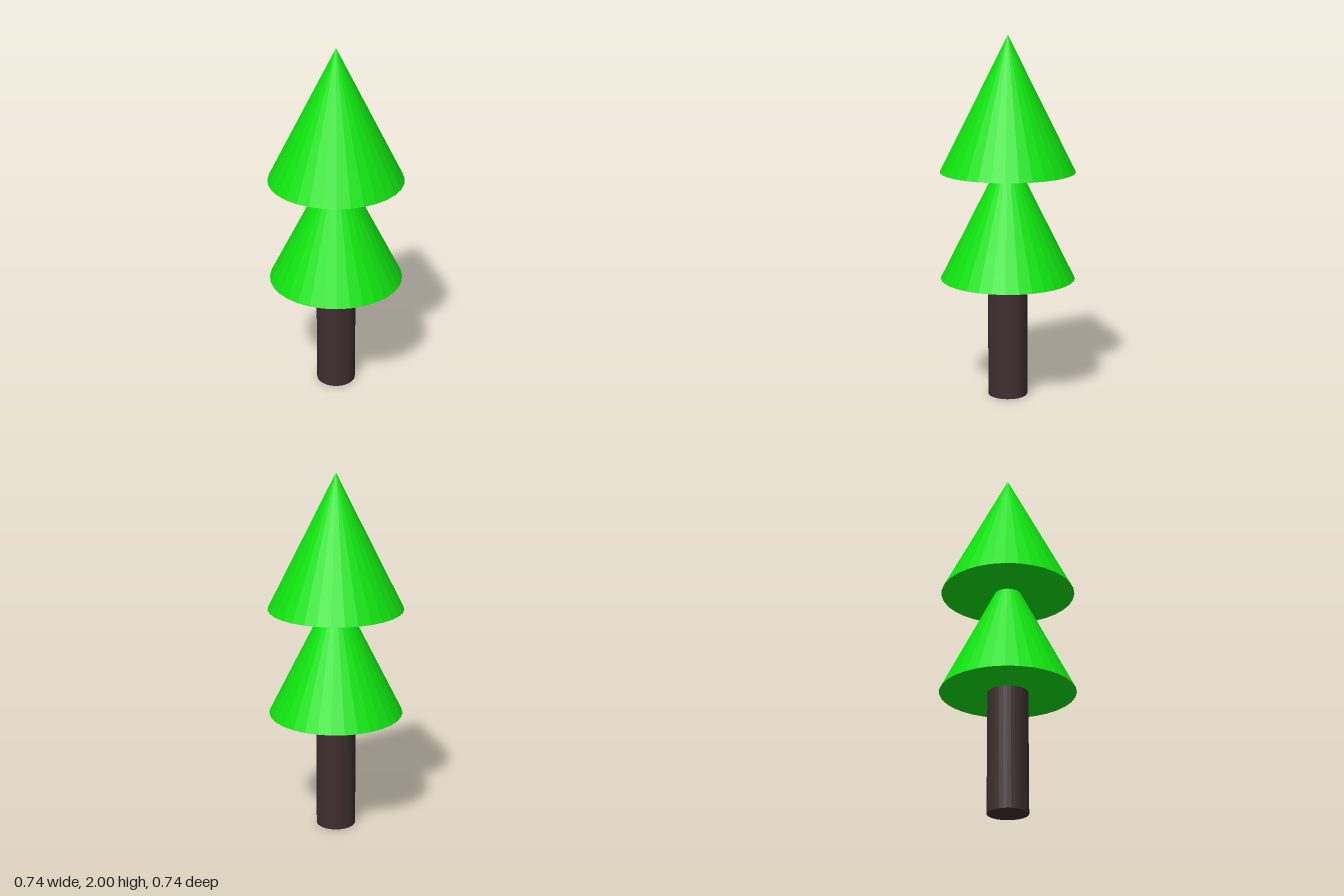
import * as THREE from 'three';

const SIDES = 32;

export function createModel() {
  const tree = new THREE.Group();
  tree.name = 'tree';

  const leafGreen = new THREE.MeshStandardMaterial({ color: 0x10e410 });
  leafGreen.name = 'leafGreen';
  leafGreen.flatShading = true;
  const barkBrown = new THREE.MeshStandardMaterial({ color: 0x3e2e2f });
  barkBrown.name = 'barkBrown';
  barkBrown.flatShading = true;

  // Places a part with its base at the given height
  const addPart = (name, geometry, height, base, material) => {
    geometry.translate(0, base + height / 2, 0);
    const mesh = new THREE.Mesh(geometry, material);
    mesh.name = name;
    tree.add(mesh);
  };

  // Trunk, ending just inside the lower foliage
  addPart('trunk', new THREE.CylinderGeometry(0.11, 0.11, 0.68, SIDES), 0.68, 0, barkBrown);

  // Two equal foliage cones, the upper one covering the tip of the lower
  const coneHeight = 0.737;
  [['lowerFoliage', 0.67], ['upperFoliage', 1.263]].forEach(([name, base]) => {
    addPart(name, new THREE.ConeGeometry(0.37, coneHeight, SIDES), coneHeight, base, leafGreen);
  });

  return tree;
}
